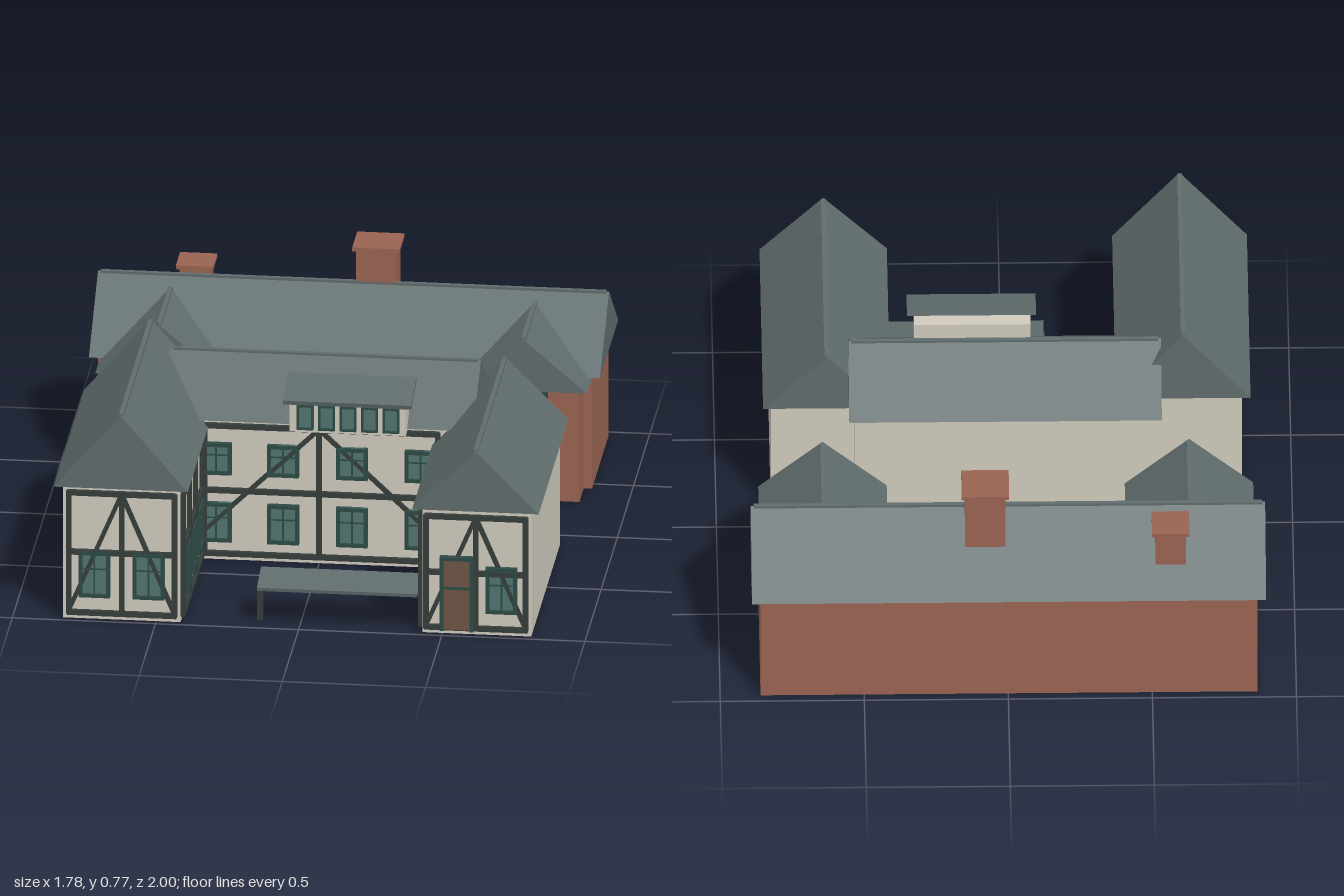
import * as THREE from 'three';

const mat = (color) => new THREE.MeshStandardMaterial({ color, flatShading: true });
const M = {
  cream: mat(0xd0cbbd), brick: mat(0x9a6452), roof: mat(0x606c6c), timber: mat(0x353d3a),
  frame: mat(0x2d4a46), glass: mat(0x52746f), door: mat(0x6e5444),
};

function add(parent, name, geometry, material) {
  const mesh = new THREE.Mesh(geometry, material);
  mesh.name = name;
  parent.add(mesh);
  return mesh;
}

// Box given by its extents
function box(parent, name, material, [x0, x1], [y0, y1], [z0, z1]) {
  const mesh = add(parent, name, new THREE.BoxGeometry(x1 - x0, y1 - y0, z1 - z0), material);
  mesh.position.set((x0 + x1) / 2, (y0 + y1) / 2, (z0 + z1) / 2);
  return mesh;
}

// Gabled roof with a ridge cap; the ridge runs along z, or along x when alongX is set
function gableRoof(parent, name, [a0, a1], [eave, ridge], [l0, l1], alongX = false) {
  const group = new THREE.Group();
  group.name = name;
  const mid = (a0 + a1) / 2;
  const half = (a1 - a0) / 2;
  const shape = new THREE.Shape([
    new THREE.Vector2(-half, eave), new THREE.Vector2(half, eave), new THREE.Vector2(0, ridge)]);
  const geo = new THREE.ExtrudeGeometry(shape, { depth: l1 - l0, bevelEnabled: false });
  add(group, 'roofSlopes', geo, M.roof);
  box(group, 'ridgeCap', M.roof, [-0.008, 0.008], [ridge - 0.012, ridge + 0.003], [0.01, l1 - l0 - 0.01]);
  if (alongX) {
    group.rotation.y = Math.PI / 2;
    group.position.set(l0, 0, mid);
  } else group.position.set(mid, 0, l0);
  parent.add(group);
}

// Local wall plane: x along the wall, y up, z outwards
function facade(parent, name, x, z, turn = 0) {
  const group = new THREE.Group();
  group.name = name;
  group.position.set(x, 0, z);
  group.rotation.y = turn;
  parent.add(group);
  return group;
}

function beam(parent, x0, y0, x1, y1, w = 0.018, depth = 0.016) {
  const mesh = add(parent, 'timberBeam',
    new THREE.BoxGeometry(Math.hypot(x1 - x0, y1 - y0) + w * 0.6, w, depth), M.timber);
  mesh.position.set((x0 + x1) / 2, (y0 + y1) / 2, depth / 2);
  mesh.rotation.z = Math.atan2(y1 - y0, x1 - x0);
}

// Window with border, one upright and one cross bar
function makeWindow(parent, cx, y0, y1, w = 0.11, bars = true) {
  const group = new THREE.Group();
  group.name = 'window';
  group.position.set(cx, y0, 0);
  parent.add(group);
  const h = y1 - y0;
  const t = Math.min(0.013, w * 0.13);
  const bar = (bx, by) => box(group, 'windowFrame', M.frame, bx, by, [0, 0.02]);
  box(group, 'windowGlass', M.glass, [-w / 2, w / 2], [0, h], [0, 0.011]);
  bar([-w / 2, -w / 2 + t], [0, h]);
  bar([w / 2 - t, w / 2], [0, h]);
  bar([-w / 2, w / 2], [0, t]);
  bar([-w / 2, w / 2], [h - t, h]);
  if (bars) {
    box(group, 'mullion', M.frame, [-0.003, 0.003], [0, h], [0, 0.016]);
    box(group, 'crossBar', M.frame, [-w / 2, w / 2], [h * 0.6, h * 0.6 + 0.005], [0, 0.015]);
  }
}

// Posts, rails and two braces falling from the middle post
function timberFrame(f, xs, ys, braceY) {
  const [left, mid, right] = xs;
  const top = ys[ys.length - 1];
  xs.forEach((x) => beam(f, x, ys[0], x, top));
  ys.forEach((y) => beam(f, left, y, right, y));
  [left, right].forEach((x) => beam(f, mid, top, x, braceY, 0.015, 0.013));
}

function chimney(parent, [x0, x1], [z0, z1], y0, y1) {
  const g = new THREE.Group();
  g.name = 'chimney';
  const i = 0.012;
  box(g, 'chimneyStack', M.brick, [x0 + i, x1 - i], [y0, y1 - 0.014], [z0 + i, z1 - i]);
  box(g, 'chimneyCap', M.brick, [x0, x1], [y1 - 0.014, y1], [z0, z1]);
  parent.add(g);
}

function makeFrontHouse() {
  const house = new THREE.Group();
  house.name = 'frontHouse';

  // Walls and roofs
  box(house, 'middleWalls', M.cream, [-0.52, 0.52], [0, 0.53], [-0.07, 0.36]);
  box(house, 'rightWingWalls', M.cream, [-0.825, -0.415], [0, 0.5], [0.09, 0.975]);
  box(house, 'leftWingWalls', M.cream, [0.43, 0.81], [0, 0.465], [0.09, 0.975]);
  gableRoof(house, 'middleRoof', [-0.1, 0.39], [0.525, 0.697], [-0.545, 0.54], true);
  gableRoof(house, 'rightWingRoof', [-0.855, -0.387], [0.495, 0.768], [0.065, 1]);
  gableRoof(house, 'leftWingRoof', [0.395, 0.837], [0.46, 0.683], [0.07, 0.985]);

  // Middle front
  const middle = facade(house, 'middleFacade', 0, 0.36);
  timberFrame(middle, [-0.4, 0, 0.415], [0.025, 0.26, 0.5], 0.11);
  [-0.36, -0.125, 0.115, 0.355].forEach((x) => {
    makeWindow(middle, x, 0.07, 0.215);
    makeWindow(middle, x, 0.32, 0.437);
  });

  // Wing fronts
  const right = facade(house, 'rightWingFacade', -0.62, 0.975);
  timberFrame(right, [-0.185, 0, 0.185], [0.025, 0.25, 0.47], 0.03);
  [-0.095, 0.095].forEach((x) => makeWindow(right, x, 0.085, 0.255));

  const left = facade(house, 'leftWingFacade', 0.617, 0.975);
  timberFrame(left, [-0.174, 0, 0.174], [0.025, 0.23, 0.437], 0.03);
  makeWindow(left, 0.09, 0.085, 0.255);
  box(left, 'door', M.door, [-0.115, -0.015], [0.02, 0.28], [0, 0.018]);
  box(left, 'doorPost', M.frame, [-0.125, -0.112], [0.015, 0.29], [0, 0.022]);
  box(left, 'doorPost', M.frame, [-0.02, -0.007], [0.015, 0.29], [0, 0.022]);
  box(left, 'doorLintel', M.frame, [-0.125, -0.007], [0.277, 0.29], [0, 0.022]);
  box(left, 'transom', M.frame, [-0.115, -0.015], [0.17, 0.18], [0, 0.021]);

  // Courtyard sides of the wings
  [[-0.415, 1, 0.47], [0.43, -1, 0.44]].forEach(([x, side, top]) => {
    const f = facade(house, 'courtyardFacade', x, 0.67, side * Math.PI / 2);
    [-0.29, -0.1, 0.085, 0.29].forEach((u) => beam(f, side * u, 0.025, side * u, top));
    [0.025, 0.27, top].forEach((y) => beam(f, -0.29, y, 0.29, y));
    [-0.195, -0.005, 0.185].forEach((u) => makeWindow(f, side * u, 0.085, 0.25, 0.12));
  });

  // Dormer with a lean-to roof
  const dormer = new THREE.Group();
  dormer.name = 'dormer';
  box(dormer, 'dormerWalls', M.cream, [-0.095, 0.31], [0.515, 0.645], [0.3, 0.435]);
  const lid = add(dormer, 'dormerRoof', new THREE.BoxGeometry(0.448, 0.016, 0.165), M.roof);
  lid.position.set(0.11, 0.66, 0.395);
  lid.rotation.x = 0.28;
  const row = facade(dormer, 'dormerWindows', 0.11, 0.435);
  for (let i = -2; i <= 2; i++) makeWindow(row, i * 0.075, 0.53, 0.622, 0.058, false);
  house.add(dormer);
  return house;
}

function makeRearHouse() {
  const house = new THREE.Group();
  house.name = 'rearHouse';
  box(house, 'mainWalls', M.brick, [-0.865, 0.86], [0, 0.425], [-0.967, -0.455]);
  gableRoof(house, 'mainRoof', [-0.997, -0.433], [0.42, 0.635], [-0.895, 0.89], true);
  [-1, 1].forEach((s) => {
    const cx = s * 0.636;
    box(house, 'bayWalls', M.brick, [cx - 0.195, cx + 0.195], [0, 0.412], [-0.6, -0.323]);
    gableRoof(house, 'bayRoof', [cx - 0.223, cx + 0.223], [0.41, 0.602], [-0.68, -0.308]);
    const f = facade(house, 'bayFacade', cx, -0.323);
    makeWindow(f, 0.015, 0.08, 0.26, 0.14);
    makeWindow(f, 0.015, 0.32, 0.41, 0.14);
  });
  chimney(house, [-0.005, 0.16], [-0.85, -0.695], 0.5, 0.767);
  chimney(house, [-0.63, -0.5], [-0.905, -0.775], 0.45, 0.642);
  return house;
}

// Low covered walk across the courtyard entrance
function makeWalkway() {
  const walk = new THREE.Group();
  walk.name = 'coveredWalk';
  const top = add(walk, 'walkRoof', new THREE.BoxGeometry(0.56, 0.013, 0.137), M.roof);
  top.position.set(0.132, 0.15, 0.914);
  top.rotation.x = 0.2;
  box(walk, 'walkBeam', M.timber, [-0.152, 0.43], [0.118, 0.142], [0.905, 0.925]);
  box(walk, 'walkPost', M.timber, [-0.153, -0.133], [0, 0.13], [0.905, 0.925]);
  return walk;
}

export function createModel() {
  const model = new THREE.Group();
  model.name = 'timberFramedManor';
  model.add(makeFrontHouse(), makeRearHouse(), makeWalkway());
  return model;
}
